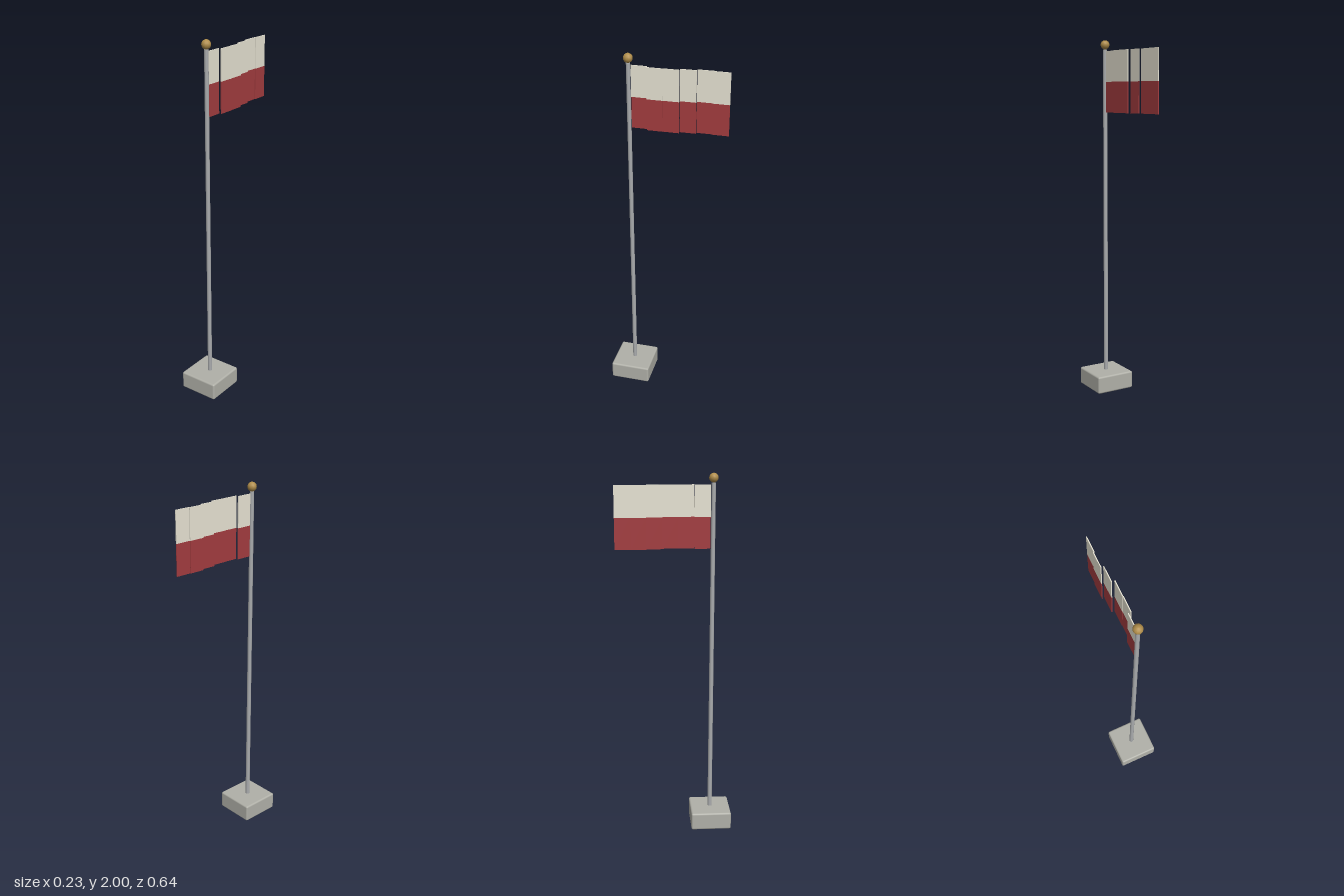
import * as THREE from 'three';
import { RoundedBoxGeometry } from 'three/addons/geometries/RoundedBoxGeometry.js';

const POLE_Z = 0.204;

export function createModel() {
  const model = new THREE.Group();
  model.name = 'flagpole';

  const material = (name, color) => {
    const m = new THREE.MeshStandardMaterial({ color });
    m.name = name;
    return m;
  };
  const stone = material('stone grey', 0xb0b0a8);
  const metal = material('pole grey', 0xaaacae);
  const brass = material('brass', 0xb08d4a);
  const white = material('flag white', 0xe8e4d4);
  const red = material('flag red', 0xa33c3f);

  const add = (parent, name, geometry, mat, x, y, z) => {
    const mesh = new THREE.Mesh(geometry, mat);
    mesh.name = name;
    mesh.position.set(x, y, z);
    parent.add(mesh);
    return mesh;
  };

  // Base block, pole and ball on top
  add(model, 'base', new RoundedBoxGeometry(0.227, 0.1, 0.227, 2, 0.01), stone, 0, 0.05, POLE_Z);
  add(model, 'pole', new THREE.CylinderGeometry(0.0115, 0.0125, 1.86, 10), metal, 0, 1.02, POLE_Z);
  add(model, 'finial', new THREE.SphereGeometry(0.025, 12, 8), brass, 0, 1.975, POLE_Z);

  // Flag: six flat panels stepping sideways along a wave, each with two bands
  const flag = new THREE.Group();
  flag.name = 'flag';
  model.add(flag);
  const length = 0.085, band = 0.168, bottom = 1.604;
  const panel = new THREE.BoxGeometry(0.005, band, length);
  for (let i = 0; i < 6; i++) {
    const x = 0.0165 * Math.sin(1.1 * i);
    const z = 0.19 - (i + 0.5) * length;
    add(flag, 'lowerBand' + (i + 1), panel, red, x, bottom + band / 2, z);
    add(flag, 'upperBand' + (i + 1), panel, white, x, bottom + band * 1.5, z);
  }

  return model;
}
